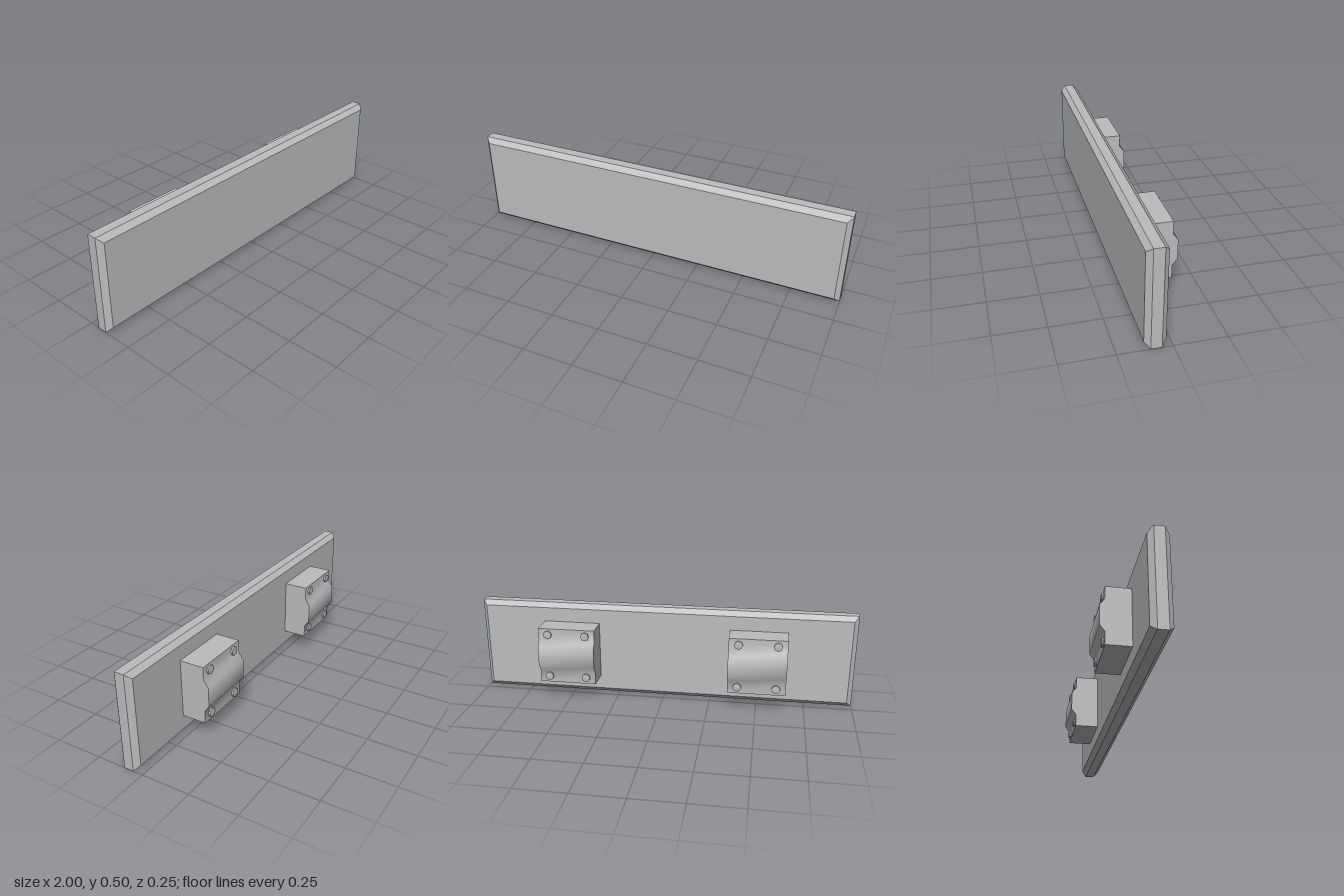
import * as THREE from 'three';
import { toCreasedNormals } from 'three/addons/utils/BufferGeometryUtils.js';

const grey = new THREE.MeshStandardMaterial({ color: 0xbcbcbc });
grey.name = 'plain grey';

function addMesh(parent, name, geometry, x = 0, y = 0, z = 0) {
  const mesh = new THREE.Mesh(geometry, grey);
  mesh.name = name;
  mesh.position.set(x, y, z);
  parent.add(mesh);
}

const outline = (points) => new THREE.Shape(points.map(([x, y]) => new THREE.Vector2(x, y)));

export function createModel() {
  const model = new THREE.Group();
  model.name = 'mountedBoard';

  // Board with a chamfer around every edge of both faces
  const bevel = 0.025;
  const w = 1 - bevel, top = 0.5 - bevel;
  const board = new THREE.ExtrudeGeometry(
    outline([[-w, bevel], [w, bevel], [w, top], [-w, top]]),
    { depth: 0.05, bevelEnabled: true, bevelSize: bevel, bevelThickness: bevel, bevelSegments: 1 }
  );
  addMesh(model, 'board', board, 0, 0, 0.05);

  // Clamp block: side profile as (z, y), with a raised hump at the back
  const profile = outline([
    [0.025, 0.1], [0.025, 0.4], [-0.1, 0.4], [-0.1, 0.335],
    [-0.125, 0.3], [-0.125, 0.2], [-0.1, 0.165], [-0.1, 0.1],
  ]);
  let block = new THREE.ExtrudeGeometry(profile, { depth: 0.3, bevelEnabled: false });
  block.rotateY(-Math.PI / 2).translate(0.15, 0, 0);
  block = toCreasedNormals(block, 0.75);

  // Eight-sided bolt head with a shallow point, facing the back
  const bolt = toCreasedNormals(
    new THREE.LatheGeometry(
      [[0.0225, 0], [0.0225, 0.0095], [0, 0.0135]].map(([r, h]) => new THREE.Vector2(r, h)), 8
    ).rotateX(-Math.PI / 2),
    0.6
  );

  // Two clamps, each with four bolts
  for (const side of [-1, 1]) {
    const clamp = new THREE.Group();
    clamp.name = side < 0 ? 'rightClamp' : 'leftClamp';
    clamp.position.x = side * 0.5;
    addMesh(clamp, 'clampBlock', block);
    for (const x of [-0.1, 0.1])
      for (const y of [0.135, 0.367]) addMesh(clamp, 'bolt', bolt, x, y, -0.1);
    model.add(clamp);
  }
  return model;
}
